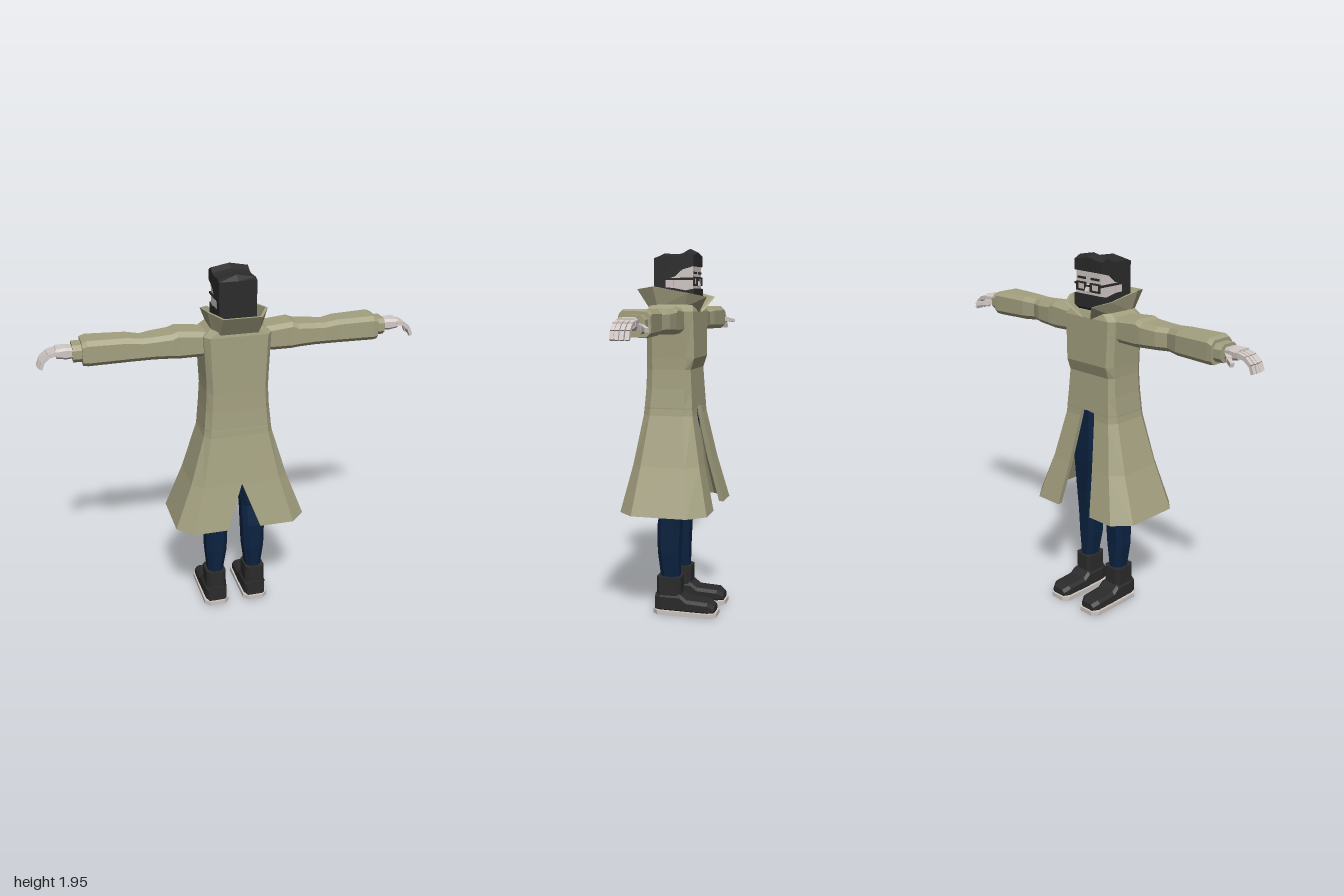
import * as THREE from 'three';

export function createModel() {
  const model = new THREE.Group();
  model.name = 'manInTrenchCoat';
  const mat = (name, hex, side = THREE.FrontSide) => {
    const m = new THREE.MeshStandardMaterial({ color: hex, side });
    m.name = name;
    return m;
  };
  const coat = mat('khakiCloth', 0xa3a080, THREE.DoubleSide);
  const black = mat('blackHairAndLeather', 0x2b2b2b);
  const navy = mat('navyTrousers', 0x0c2341);
  const skin = mat('paleSkin', 0xd2c9c6);
  const sole = mat('paleRubber', 0xcdc5c1);

  const add = (name, geo, material, parent = model) => {
    const m = new THREE.Mesh(geo, material);
    m.name = name;
    parent.add(m);
    return m;
  };
  const box = (name, x0, x1, y0, y1, z0, z1, material) =>
    add(name, new THREE.BoxGeometry(Math.abs(x1 - x0), y1 - y0, z1 - z0)
      .translate((x0 + x1) / 2, (y0 + y1) / 2, (z0 + z1) / 2), material);

  // Faceted solid through equal closed loops; wound outward by its signed volume
  function loft(rings) {
    const n = rings[0].length, tris = [];
    const quad = (a, b, c, d) => tris.push([a, b, c], [a, c, d]);
    for (let k = 0; k < rings.length - 1; k++)
      for (let i = 0; i < n; i++) {
        const j = (i + 1) % n;
        quad(rings[k][i], rings[k][j], rings[k + 1][j], rings[k + 1][i]);
      }
    const first = rings[0], last = rings[rings.length - 1];
    for (let i = 0; i < n / 2 - 1; i++) {
      const a = n - 1 - i, b = n - 2 - i;
      quad(first[i], first[a], first[b], first[i + 1]);
      quad(last[i], last[i + 1], last[b], last[a]);
    }
    let volume = 0;
    for (const [a, b, c] of tris)
      volume += a[0] * (b[1] * c[2] - b[2] * c[1]) + a[1] * (b[2] * c[0] - b[0] * c[2])
        + a[2] * (b[0] * c[1] - b[1] * c[0]);
    const pts = tris.flatMap(t => (volume < 0 ? [t[0], t[2], t[1]] : t)).flat();
    const g = new THREE.BufferGeometry();
    g.setAttribute('position', new THREE.Float32BufferAttribute(pts, 3));
    g.computeVertexNormals();
    return g;
  }
  // Rectangle with cut corners
  const oct = (a0, a1, b0, b1, c) => [[a0 + c, b0], [a1 - c, b0], [a1, b0 + c], [a1, b1 - c],
    [a1 - c, b1], [a0 + c, b1], [a0, b1 - c], [a0, b0 + c]];
  // Side profile in (z, y), extruded across x
  function profile(points, halfWidth) {
    const g = new THREE.ExtrudeGeometry(new THREE.Shape(points.map(p => new THREE.Vector2(-p[0], p[1]))),
      { depth: halfWidth * 2, steps: 2, bevelEnabled: false });
    return g.translate(0, 0, -halfWidth).rotateY(Math.PI / 2);
  }
  // Straight bar between two points
  function bar(name, p, q, w, h, material, parent) {
    const a = new THREE.Vector3(...p), b = new THREE.Vector3(...q);
    const m = add(name, new THREE.BoxGeometry(w, h, a.distanceTo(b)), material, parent);
    m.position.copy(a).add(b).multiplyScalar(0.5);
    m.lookAt(b);
  }

  // Coat rows: y, side x, panel edge x, back z, front z, side back z, side front z, back slit x, front slit x
  const coatRows = [
    [0.575, 0.355, 0.275, 0.245, -0.222, 0.162, -0.132, 0.09, 0.12],
    [0.82, 0.262, 0.208, 0.193, -0.165, 0.137, -0.1, 0, 0.085],
    [1.08, 0.185, 0.155, 0.15, -0.115, 0.11, -0.072, 0, 0.052],
    [1.115, 0.18, 0.152, 0.147, -0.112, 0.108, -0.074, 0, 0.048],
    [1.122, 0.18, 0.152, 0.146, -0.112, 0.108, -0.074, 0, 0],
    [1.22, 0.17, 0.144, 0.139, -0.106, 0.1, -0.078, 0, 0],
    [1.32, 0.164, 0.138, 0.136, -0.1, 0.1, -0.075, 0, 0],
    [1.38, 0.165, 0.14, 0.136, -0.12, 0.1, -0.085, 0, 0],
    [1.62, 0.177, 0.15, 0.135, -0.115, 0.1, -0.085, 0, 0],
    [1.655, 0.135, 0.1, 0.128, -0.1, 0.08, -0.07, 0, 0],
  ];
  const t = 0.025;
  for (const s of [1, -1]) {
    const side = s > 0 ? 'left' : 'right';
    add(side + 'CoatHalf', loft(coatRows.map(([y, xo, x1, zb, zf, sb, sf, bx, fx]) => {
      const outer = [[bx, zb], [x1, zb], [xo, sb], [xo, sf], [x1, zf], [fx, zf]];
      const inner = [[bx, zb - t], [x1 - t / 2, zb - t], [xo - t, sb - t / 2],
        [xo - t, sf + t / 2], [x1 - t / 2, zf + t], [fx, zf + t]];
      return [...outer, ...inner.reverse()].map(([x, z]) => [s * x, y, z]);
    })), coat);

    // Flared collar, open at the throat
    const collarLoop = (pts, d) => {
      const inner = pts.map(([x, y, z]) => [x * (1 - d * 6), y, z * (1 - d * 6)]);
      return [...pts, ...inner.reverse()].map(([x, y, z]) => [s * x, y, z]);
    };
    add(side + 'Collar', loft([
      collarLoop([[0, 1.63, 0.13], [0.1, 1.63, 0.13], [0.13, 1.64, 0.08], [0.125, 1.64, -0.06], [0.03, 1.615, -0.118]], 0.015),
      collarLoop([[0, 1.735, 0.2], [0.1, 1.735, 0.2], [0.155, 1.748, 0.1], [0.15, 1.715, -0.09], [0.095, 1.695, -0.175]], 0.012),
    ]), coat);

    // Sleeve sections: x, bottom, top, front z, back z
    const sleeve = [[0.13, 1.51, 1.635, -0.075, 0.09], [0.18, 1.51, 1.64, -0.075, 0.09], [0.3, 1.508, 1.65, -0.078, 0.087],
      [0.33, 1.512, 1.638, -0.078, 0.088], [0.42, 1.515, 1.632, -0.068, 0.085], [0.48, 1.515, 1.63, -0.045, 0.085],
      [0.55, 1.512, 1.637, -0.066, 0.078], [0.75, 1.51, 1.64, -0.08, 0.08], [0.775, 1.512, 1.63, -0.08, 0.075]];
    const across = ([x, y0, y1, z0, z1]) => oct(y0, y1, z0, z1, 0.022).map(([y, z]) => [s * x, y, z]);
    add(side + 'Sleeve', loft(sleeve.map(across)), coat);
    add(side + 'Cuff', loft([[0.76, 1.528, 1.615, -0.068, 0.058], [0.82, 1.528, 1.615, -0.066, 0.056]].map(across)), coat);

    // Hand with four jointed fingers and a thumb
    const hand = new THREE.Group();
    hand.name = side + 'Hand';
    model.add(hand);
    add('palm', loft([[0.8, 1.548, 1.598, -0.035, 0.035], [0.85, 1.545, 1.605, -0.045, 0.04],
      [0.9, 1.555, 1.602, -0.05, 0.046]].map(([x, y0, y1, z0, z1]) =>
      oct(y0, y1, z0, z1, 0.012).map(([y, z]) => [s * x, y, z]))), skin, hand);
    const joints = [[0.89, 1.585], [0.94, 1.573], [0.975, 1.545], [0.99, 1.508]];
    [-0.039, -0.014, 0.011, 0.035].forEach((z, f) => {
      const reach = [0.97, 1, 0.98, 0.9][f];
      for (let i = 0; i < 3; i++) {
        const at = ([x, y]) => [s * (0.89 + (x - 0.89) * reach), y, z];
        bar('finger', at(joints[i]), at(joints[i + 1]), 0.02, 0.021 - i * 0.002, skin, hand);
      }
    });
    bar('thumbBase', [s * 0.83, 1.565, -0.03], [s * 0.875, 1.56, -0.075], 0.026, 0.026, skin, hand);
    bar('thumbTip', [s * 0.87, 1.56, -0.072], [s * 0.915, 1.55, -0.105], 0.02, 0.02, skin, hand);

    // Trouser leg sections: y, inner x, outer x, front z, back z
    const leg = [[0.19, 0.07, 0.152, -0.035, 0.065], [0.34, 0.05, 0.166, -0.036, 0.08], [0.48, 0.045, 0.168, -0.042, 0.082],
      [0.6, 0.042, 0.17, -0.052, 0.06], [0.8, 0.008, 0.165, -0.075, 0.075], [0.88, 0, 0.158, -0.08, 0.085], [1.13, 0, 0.148, -0.082, 0.09]];
    add(side + 'TrouserLeg', loft(leg.map(([y, x0, x1, z0, z1]) =>
      oct(x0, x1, z0, z1, 0.025).map(([x, z]) => [s * x, y, z]))), navy);

    // Boot: shaft, foot and pale sole
    add(side + 'BootShaft', loft([0.1, 0.205].map(y =>
      oct(0.058, 0.168, -0.05, 0.083, 0.018).map(([x, z]) => [s * x, y, z]))), black);
    const foot = [[0.09, 0.062, 0.165, 0.11], [0.06, 0.052, 0.175, 0.113], [-0.05, 0.05, 0.177, 0.113],
      [-0.085, 0.05, 0.178, 0.086], [-0.2, 0.052, 0.178, 0.08], [-0.235, 0.072, 0.158, 0.06]];
    add(side + 'BootFoot', loft(foot.map(([z, x0, x1, y1]) =>
      oct(x0, x1, 0.015, y1, 0.016).map(([x, y]) => [s * x, y, z]))), black);
    add(side + 'BootSole', loft([0, 0.024].map(y =>
      oct(0.044, 0.184, -0.246, 0.1, 0.028).map(([x, z]) => [s * x, y, z]))), sole);

    // Spectacles: rim bars and temple arm
    for (const y of [1.752, 1.79]) box(side + 'Rim', s * 0.016, s * 0.082, y, y + 0.008, -0.107, -0.097, black);
    for (const x of [0.016, 0.075]) box(side + 'Rim', s * x, s * (x + 0.007), 1.752, 1.798, -0.107, -0.097, black);
    box(side + 'TempleArm', s * 0.086, s * 0.095, 1.782, 1.793, -0.105, 0.05, black);
    box(side + 'Eyebrow', s * 0.018, s * 0.075, 1.813, 1.824, -0.103, -0.096, black);
    box(side + 'Ear', s * 0.085, s * 0.097, 1.745, 1.782, 0.005, 0.045, skin);
  }
  box('shoulderLining', -0.11, 0.11, 1.63, 1.65, -0.085, 0.115, coat);

  // Head, hair, beard and nose
  box('neck', -0.055, 0.055, 1.6, 1.7, -0.05, 0.06, skin);
  box('face', -0.088, 0.088, 1.68, 1.87, -0.098, 0.09, skin);
  const hair = profile([[0.108, 1.67], [0.108, 1.895], [0.08, 1.922], [0, 1.918], [-0.03, 1.925], [-0.062, 1.945],
    [-0.103, 1.925], [-0.103, 1.853], [-0.04, 1.835], [0.0, 1.8], [0.05, 1.785], [0.05, 1.67]], 0.097);
  const p = hair.attributes.position;
  for (let i = 0; i < p.count; i++)
    if (p.getY(i) > 1.9 && Math.abs(p.getX(i)) > 0.05) p.setY(i, p.getY(i) - 0.018);
  hair.computeVertexNormals();
  add('hair', hair, black);
  add('beard', profile([[0.055, 1.68], [0.055, 1.745], [0, 1.74], [-0.06, 1.728], [-0.106, 1.738],
    [-0.108, 1.67], [-0.085, 1.65], [0, 1.66]], 0.094), black);
  box('spectacleBridge', -0.018, 0.018, 1.777, 1.785, -0.107, -0.097, black);
  add('nose', profile([[-0.096, 1.795], [-0.118, 1.755], [-0.096, 1.745]], 0.012), skin);
  return model;
}
